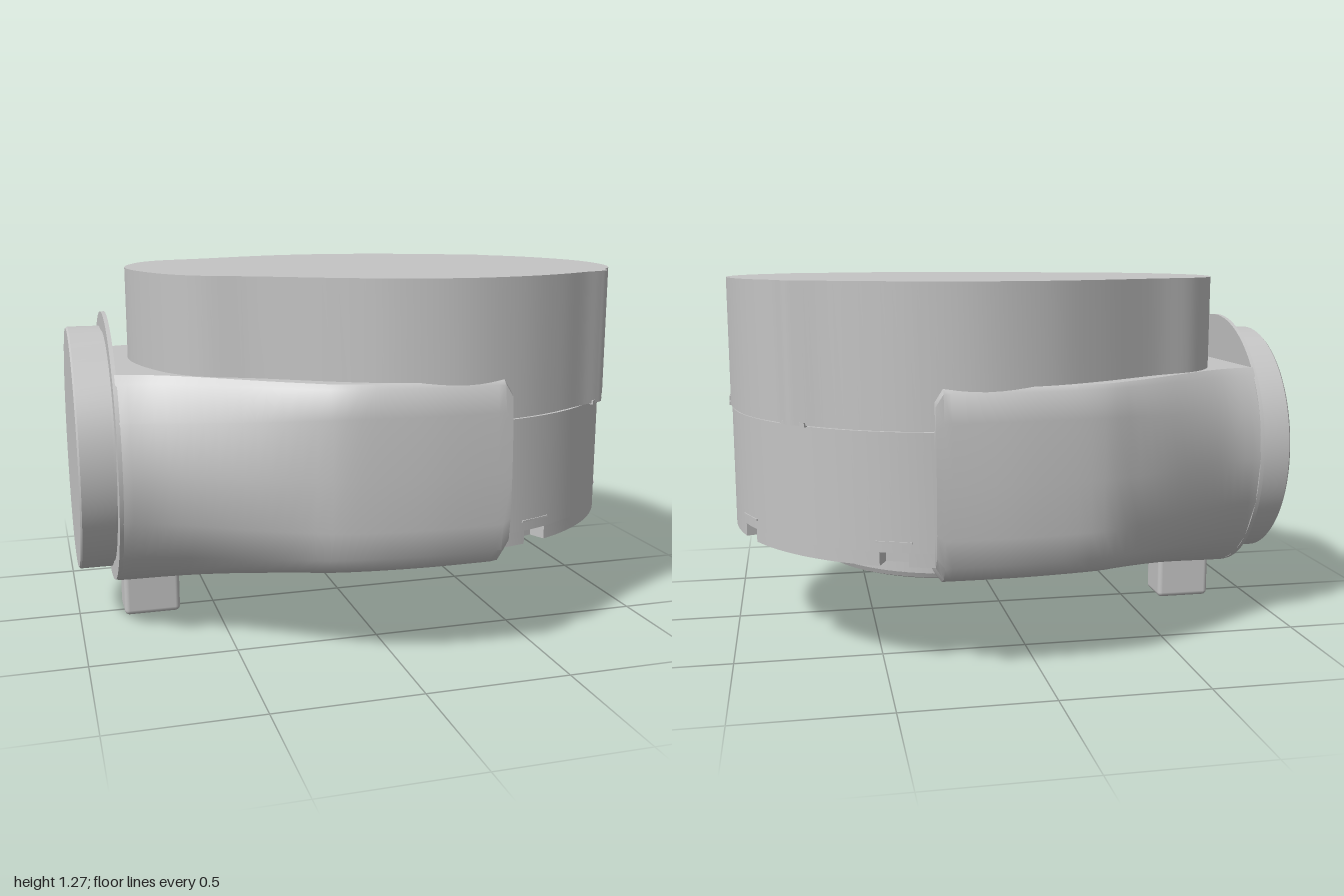
import * as THREE from 'three';
import { toCreasedNormals } from 'three/addons/utils/BufferGeometryUtils.js';
import { RoundedBoxGeometry } from 'three/addons/geometries/RoundedBoxGeometry.js';

const CX = 0.195; // drum axis
const R = 0.8; // lower drum radius

export function createModel() {
  const group = new THREE.Group();
  const grey = new THREE.MeshStandardMaterial({ color: 0xc4c4c4 });
  const add = (name, geo, x = 0, y = 0, z = 0) => {
    const mesh = new THREE.Mesh(geo, grey);
    mesh.name = name;
    mesh.position.set(x, y, z);
    group.add(mesh);
    return mesh;
  };

  // Upright prism from a plan outline of [x, z] points
  const prism = (name, pts, y0, y1, x = 0) => {
    const shape = new THREE.Shape(pts.map(([px, pz]) => new THREE.Vector2(px, -pz)));
    const geo = new THREE.ExtrudeGeometry(shape, { depth: y1 - y0, bevelEnabled: false });
    geo.rotateX(-Math.PI / 2);
    return add(name, toCreasedNormals(geo, 0.5), x, y0, 0);
  };

  // Circle outline with pockets cut into its edge: [angle, half angle, depth]
  const notchedCircle = (r, notches) => {
    const pts = [];
    const at = (a, rad) => pts.push([rad * Math.cos(a), rad * Math.sin(a)]);
    const inside = (a) => notches.some(([c, h]) => Math.abs(Math.atan2(Math.sin(a - c), Math.cos(a - c))) <= h);
    const corners = notches.flatMap(([c, h, d]) => [
      { a: c - h, r: [r, r - d] }, { a: c + h, r: [r - d, r] }]);
    const first = -Math.PI + 0.001;
    for (let i = 0; i < 128; i++) {
      const a = first + (i / 128) * Math.PI * 2;
      if (!inside(a)) corners.push({ a, r: [r] });
    }
    corners.sort((p, q) => p.a - q.a).forEach((c) => c.r.forEach((rad) => at(c.a, rad)));
    return pts;
  };

  // Upper drum: lobed outline, mirrored front to back
  const half = [
    [0.985, 0.15], [0.945, 0.31], [0.89, 0.43], [0.825, 0.525], [0.795, 0.59], [0.76, 0.612], [0.69, 0.645],
    [0.57, 0.715], [0.4, 0.785], [0.19, 0.818], [-0.02, 0.785], [-0.2, 0.705], [-0.44, 0.56],
    [-0.6, 0.48], [-0.68, 0.39], [-0.74, 0.25], [-0.775, 0.11],
  ];
  const loop = [[1, 0], ...half, [-0.785, 0], ...half.map(([x, z]) => [x, -z]).reverse()];
  const curve = new THREE.CatmullRomCurve3(loop.map(([x, z]) => new THREE.Vector3(x, 0, z)), true);
  const outline = curve.getPoints(180).slice(0, -1).map((p) => [p.x, p.z]);
  prism('upperDrum', outline, 0.824, 1.28);

  // Lower drum with pockets round its bottom edge, and the seam core
  add('seamCore', new THREE.CylinderGeometry(R - 0.012, R - 0.012, 0.03, 96), CX, 0.82, 0);
  const angles = [0.398, 1.21, -0.398, -1.21];
  prism('lowerDrum', notchedCircle(R, []), 0.43, 0.817, CX);
  prism('lowerDrumEdge', notchedCircle(R, angles.map((a) => [a, 0.06, 0.06])), 0.385, 0.43, CX);

  // Small plates set tangent to the drum wall
  const wallPlate = (name, angle, r, y, w, h, d) => {
    add(name, new THREE.BoxGeometry(d, h, w), CX + r * Math.cos(angle), y, r * Math.sin(angle))
      .rotation.y = -angle;
  };
  for (const a of angles) wallPlate('pocketLip', a, R - 0.001, 0.464, 0.12, 0.006, 0.008);
  for (const a of [0, 0.79, -0.79]) {
    const r = a === 0 ? R + 0.002 : 0.825;
    wallPlate('seamTabBase', a, r, 0.827, 0.1, 0.014, 0.014);
    for (const s of [-1, 1]) wallPlate('seamTab', a + s * 0.025, r, 0.84, 0.022, 0.022, 0.014);
  }

  // Bottom cap: rounded plate under a wall that is open towards +x
  const r = 0.49;
  const profile = [[0, 0.25], [r - 0.025, 0.25], [r - 0.008, 0.257], [r, 0.275], [0, 0.275]]
    .map(([a, b]) => new THREE.Vector2(a, b));
  add('capPlate', toCreasedNormals(new THREE.LatheGeometry(profile, 96), 0.7), CX, 0, 0);
  prism('capWall', notchedCircle(r, [[0, 0.29, 0.16]]), 0.274, 0.39, CX);
  const post = [[0.06, 0.27], [0.035, 0.3], [0.03, 0.33], [0.045, 0.365], [0.065, 0.39]]
    .map(([a, b]) => new THREE.Vector2(a, b));
  add('capPost', new THREE.LatheGeometry(post, 24), CX + 0.4, 0, 0);

  // Housing: a round section at the inlet spreads into two arms round the drum
  const widths = [[-0.87, 0.485], [-0.72, 0.535], [-0.45, 0.69], [-0.3, 0.76], [-0.18, 0.802], [0.08, 0.832], [0.36, 0.832]];
  const widthCurve = new THREE.SplineCurve(widths.map(([x, w]) => new THREE.Vector2(x, w)));
  const widthSamples = widthCurve.getPoints(200);
  const widthAt = (x) => {
    const i = Math.max(1, widthSamples.findIndex((p) => p.x >= x));
    const a = widthSamples[i - 1], b = widthSamples[i];
    return a.y + ((x - a.x) / (b.x - a.x)) * (b.y - a.y);
  };
  const round = [40, 36, 20, 0, -20, -40, -55, -70, -90].map((d) => {
    const a = (d * Math.PI) / 180;
    return [Math.cos(a), 0.64 + 0.49 * Math.sin(a)];
  });
  const boxy = [[0.965, 0.955], [0.985, 0.94], [0.995, 0.85], [1, 0.65], [0.997, 0.48],
    [0.985, 0.39], [0.945, 0.345], [0.88, 0.322], [0.7, 0.303]];
  const section = (x) => {
    const t = THREE.MathUtils.smoothstep(x, -0.86, -0.1);
    const w = widthAt(x);
    const inner = Math.sqrt(Math.max(0, 0.6 * 0.6 - (x - 0.18) ** 2));
    const pts = round.map(([z, y], i) => [
      i === 8 ? inner : w * (z + (boxy[i][0] - z) * t), y + (boxy[i][1] - y) * t]);
    const closed = [[inner, 0.955], ...pts, [inner, 0.42], [inner, 0.955]];
    if (x < 0.33) return closed;
    return closed.map(([z, y]) => [z, 0.64 + (y - 0.64) * 0.87]);
  };
  const stations = [];
  for (let i = 0; i <= 12; i++) stations.push(-0.868 + (i / 12) * 0.448);
  for (let i = 1; i <= 16; i++) stations.push(-0.42 + (i / 16) * 0.72);
  stations.push(0.325, 0.35);

  const arm = (side) => {
    const pos = [], index = [];
    const rows = stations.map(section);
    const n = rows[0].length;
    const face = (a, b, c) => index.push(...(side > 0 ? [a, b, c] : [a, c, b]));
    rows.forEach((row, i) => row.forEach(([z, y]) => pos.push(stations[i], y, z * side)));
    for (let i = 0; i < rows.length - 1; i++) {
      for (let j = 0; j < n - 1; j++) {
        const a = i * n + j, b = a + n;
        face(a, a + 1, b);
        face(b, a + 1, b + 1);
      }
    }
    // End face of the arm
    const last = (rows.length - 1) * n;
    const centre = pos.length / 3;
    pos.push(0.35, 0.64, 0.72 * side);
    for (let j = 0; j < n - 1; j++) face(centre, last + j, last + j + 1);
    const geo = new THREE.BufferGeometry();
    geo.setAttribute('position', new THREE.Float32BufferAttribute(pos, 3));
    geo.setIndex(index);
    return toCreasedNormals(geo, 0.75);
  };
  add('housingFront', arm(1));
  add('housingBack', arm(-1));

  // Inlet: flange, neck and collar turned about the x axis
  const turned = (name, pts) => {
    const geo = new THREE.LatheGeometry(pts.map(([a, b]) => new THREE.Vector2(a, b)), 96);
    geo.rotateZ(Math.PI / 2);
    add(name, toCreasedNormals(geo, 0.5), 0, 0.64, 0);
  };
  turned('inletFlange', [[0, 0.862], [0.487, 0.862], [0.487, 0.876], [0, 0.876]]);
  turned('inletCollar', [[0, 0.87], [0.42, 0.87], [0.42, 0.884], [0.436, 0.884], [0.436, 0.994], [0.43, 1], [0, 1]]);

  // Foot under the inlet
  add('foot', new RoundedBoxGeometry(0.205, 0.26, 0.15, 3, 0.018), -0.737, 0.135, 0);

  return group;
}
